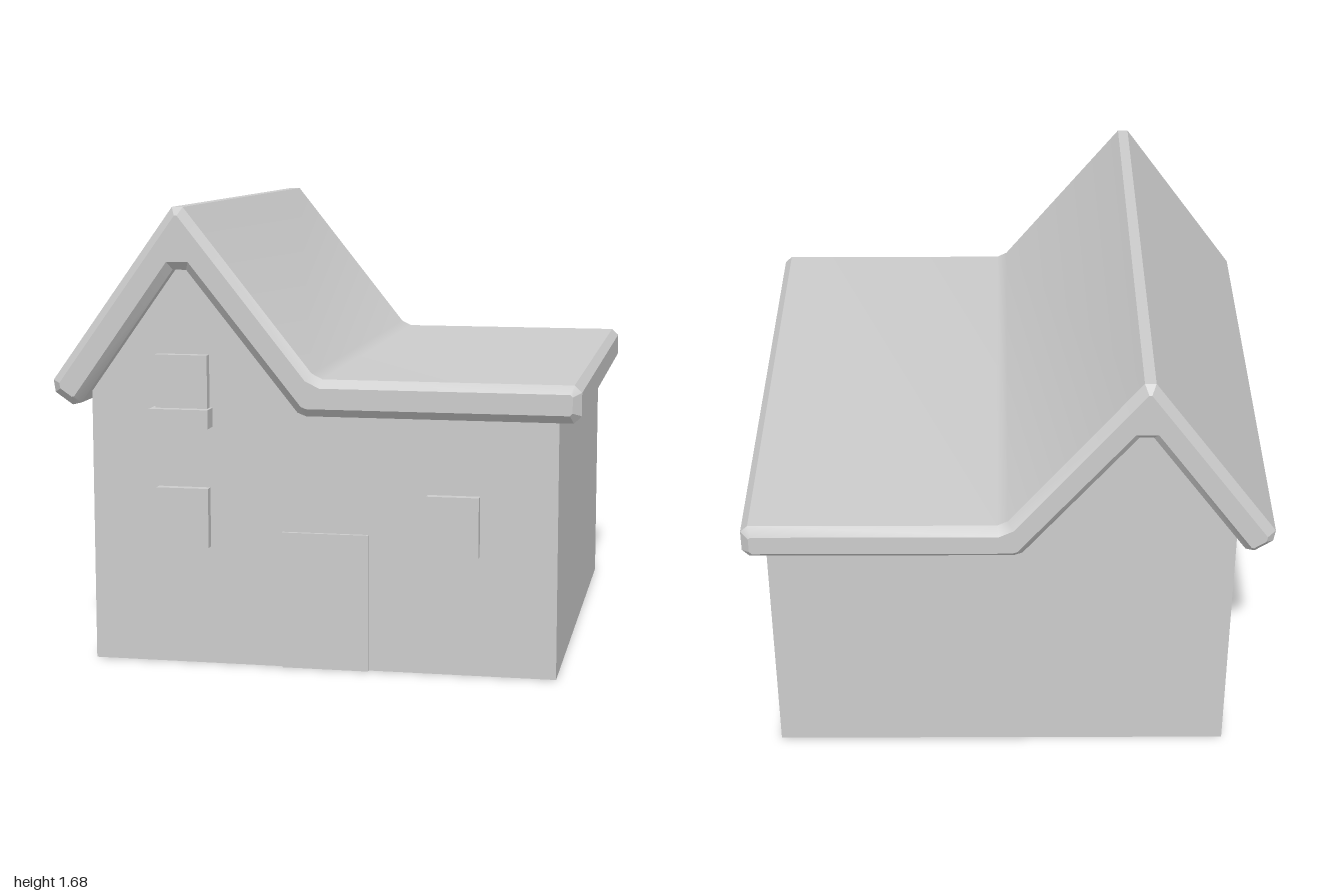
import * as THREE from 'three';
import { toCreasedNormals } from 'three/addons/utils/BufferGeometryUtils.js';

const grey = new THREE.MeshStandardMaterial({ color: 0xcccccc });

function add(group, name, geometry) {
  const mesh = new THREE.Mesh(geometry, grey);
  mesh.name = name;
  group.add(mesh);
  return mesh;
}

// Extrude a front profile along z, centred on z = 0, with an optional inward bevel
function extrudeProfile(points, depth, bevel = 0) {
  const shape = new THREE.Shape(points.map(([x, y]) => new THREE.Vector2(x, y)));
  const geometry = new THREE.ExtrudeGeometry(shape, {
    depth: depth - 2 * bevel,
    bevelEnabled: bevel > 0,
    bevelThickness: bevel,
    bevelSize: bevel,
    bevelOffset: -bevel,
    bevelSegments: 1,
  });
  return geometry.translate(0, 0, -depth / 2 + bevel);
}

export function createModel() {
  const house = new THREE.Group();
  house.name = 'house';
  const wallZ = 0.925;

  // Walls: the gable outline runs up into the roof slab
  add(house, 'walls', extrudeProfile([
    [-0.835, 0], [0.885, 0], [0.885, 0.98], [-0.02, 0.98],
    [-0.46, 1.52], [-0.51, 1.52], [-0.835, 1.06],
  ], 2 * wallZ));

  // Roof: one folded slab with chamfered eaves, ridge and front and back edges
  const roof = extrudeProfile([
    [-0.967, 1.05], [-0.96, 1.005], [-0.895, 0.96], [-0.862, 0.968],
    [-0.51, 1.46], [-0.46, 1.46], [-0.052, 0.952], [-0.02, 0.94],
    [0.94, 0.94], [0.967, 0.967], [0.967, 1.05], [0.94, 1.075],
    [0.04, 1.075], [0, 1.095], [-0.47, 1.685], [-0.51, 1.685],
  ], 2, 0.03);
  add(house, 'roof', toCreasedNormals(roof, Math.PI / 6));

  // Front panels: x range, y range, and how far each reaches forward
  const panels = [
    ['door', -0.12, 0.2, 0, 0.505, 0.94],
    ['lowerRightWindow', -0.585, -0.39, 0.44, 0.66, 0.96],
    ['lowerLeftWindow', 0.415, 0.605, 0.44, 0.66, 0.96],
    ['upperWindow', -0.585, -0.39, 0.955, 1.15, 0.96],
    ['windowBox', -0.6, -0.38, 0.885, 0.955, 0.995],
  ];
  for (const [name, x0, x1, y0, y1, front] of panels) {
    const back = wallZ - 0.02;
    add(house, name, new THREE.BoxGeometry(x1 - x0, y1 - y0, front - back))
      .position.set((x0 + x1) / 2, (y0 + y1) / 2, (front + back) / 2);
  }
  return house;
}
